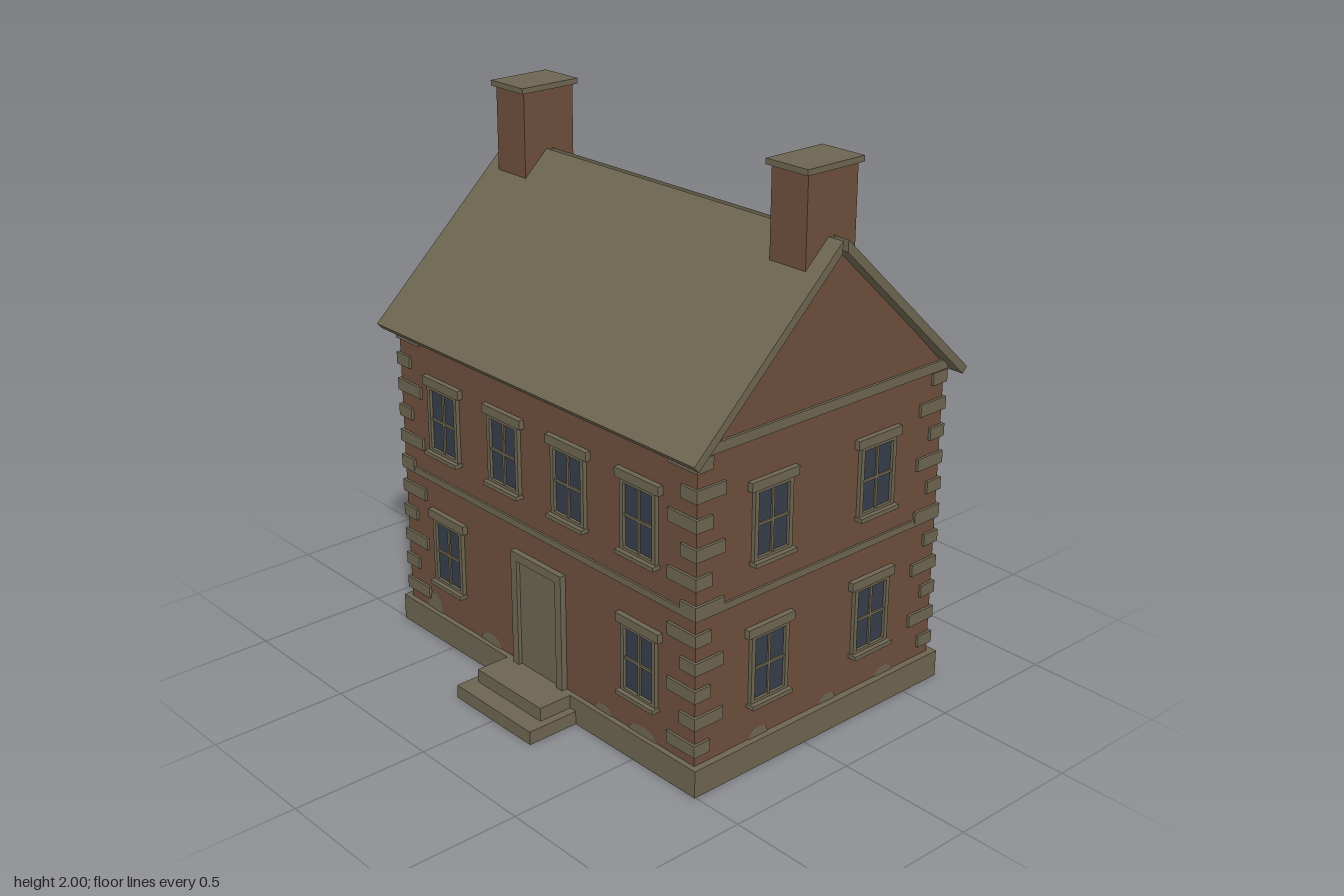
import * as THREE from 'three';

const mat = (name, color, side = THREE.FrontSide) => {
  const m = new THREE.MeshStandardMaterial({ color, side });
  m.name = name;
  return m;
};

const W = 0.78, D = 0.565, CZ = -0.08; // wall half width, half depth, centre z

export function createModel() {
  const stone = mat('stone', 0x6d6551, THREE.DoubleSide);
  const brick = mat('brick', 0x6d4e3c);
  const glass = mat('glass', 0x363e4a);
  const house = new THREE.Group();
  house.name = 'house';

  const add = (parent, name, geometry, material) => {
    const mesh = new THREE.Mesh(geometry, material);
    mesh.name = name;
    parent.add(mesh);
    return mesh;
  };
  // Box given by its limits on each axis
  const box = (parent, name, material, x0, x1, y0, y1, z0, z1) => {
    const g = new THREE.BoxGeometry(x1 - x0, y1 - y0, z1 - z0);
    g.translate((x0 + x1) / 2, (y0 + y1) / 2, (z0 + z1) / 2);
    return add(parent, name, g, material);
  };
  // Box without its underside
  const openBox = (name, ...limits) => {
    const g = box(house, name, stone, ...limits).geometry;
    const index = Array.from(g.index.array);
    index.splice(18, 6);
    g.setIndex(index);
    g.clearGroups();
  };
  // Profile in (z, y) swept along x
  const sweep = (name, points, halfLength, material) => {
    const shape = new THREE.Shape(points.map(([z, y]) => new THREE.Vector2(z, y)));
    const g = new THREE.ExtrudeGeometry(shape, { depth: 2 * halfLength, bevelEnabled: false });
    g.translate(0, 0, -halfLength);
    g.rotateY(-Math.PI / 2);
    return add(house, name, g, material);
  };
  // Band running round the walls
  const band = (name, y0, y1, out) =>
    box(house, name, stone, -W - out, W + out, y0, y1, CZ - D - out, CZ + D + out);

  // Plinth and steps, open underneath
  openBox('plinth', -0.805, 0.805, 0, 0.1, -0.67, 0.505);
  openBox('lowerStep', -0.205, 0.205, 0, 0.05, 0.505, 0.705);
  openBox('upperStep', -0.175, 0.175, 0.05, 0.1, 0.505, 0.635);

  // Brick body with gables
  sweep('walls', [[CZ - D, 0.1], [CZ + D, 0.1], [CZ + D, 1.2], [CZ, 1.748], [CZ - D, 1.2]], W, brick);
  band('stringCourse', 0.63, 0.655, 0.008);
  band('cornice', 1.185, 1.22, 0.01);

  // Two roof slabs with a narrow gap at the ridge
  for (const s of [-1, 1]) {
    const slab = [[0.012, 1.765], [0.625, 1.19], [0.605, 1.168], [0.012, 1.724]];
    sweep(s > 0 ? 'frontRoof' : 'backRoof', slab.map(([z, y]) => [CZ + s * z, y]), 0.83, stone);
  }

  // Chimneys
  for (const s of [-1, 1]) {
    const chimney = new THREE.Group();
    chimney.name = s > 0 ? 'leftChimney' : 'rightChimney';
    chimney.position.set(s * 0.69, 0, CZ);
    box(chimney, 'chimneyStack', brick, -0.078, 0.078, 1.5, 1.98, -0.11, 0.11);
    box(chimney, 'chimneyCap', stone, -0.09, 0.09, 1.98, 2, -0.125, 0.125);
    house.add(chimney);
  }

  // Quoins, long and short in turn at every corner
  for (const sx of [-1, 1]) for (const sz of [-1, 1]) for (let i = 0; i < 11; i++) {
    const lx = i % 2 ? 0.075 : 0.135, lz = i % 2 ? 0.125 : 0.07;
    const quoin = add(house, 'quoin', new THREE.BoxGeometry(lx, 0.045, lz), stone);
    quoin.position.set(sx * (W + 0.01 - lx / 2), 0.16 + 0.1 * i, CZ + sz * (D + 0.01 - lz / 2));
  }

  // Window in wall space, facing +z
  const addWindow = (wall, x, y) => {
    const w = new THREE.Group();
    w.name = 'window';
    w.position.set(x, y, 0);
    box(w, 'windowGlass', glass, -0.075, 0.075, -0.115, 0.115, 0, 0.004);
    for (const s of [-1, 1]) {
      box(w, 'frameSide', stone, s * 0.077 - 0.008, s * 0.077 + 0.008, -0.125, 0.125, 0, 0.015);
      box(w, 'frameRail', stone, -0.077, 0.077, s * 0.119 - 0.006, s * 0.119 + 0.006, 0, 0.015);
    }
    box(w, 'glazingBar', stone, -0.005, 0.005, -0.119, 0.119, 0, 0.01);
    box(w, 'glazingBar', stone, -0.077, 0.077, -0.005, 0.005, 0, 0.01);
    box(w, 'lintel', stone, -0.105, 0.105, 0.125, 0.158, 0, 0.02);
    box(w, 'sill', stone, -0.092, 0.092, -0.138, -0.123, 0, 0.032);
    wall.add(w);
  };
  // Worn render patch rising from height y, or hanging when h is negative
  const addPatch = (wall, x, y, width, h) => {
    const s = new THREE.Shape();
    s.moveTo(x - width / 2, y);
    s.lineTo(x + width / 2, y);
    s.lineTo(x + width * 0.38, y + h * 0.7);
    s.lineTo(x + width * 0.12, y + h);
    s.lineTo(x - width * 0.2, y + h * 0.9);
    s.lineTo(x - width * 0.4, y + h * 0.55);
    const patch = add(wall, 'wornPatch', new THREE.ShapeGeometry(s), stone);
    patch.position.z = 0.003;
  };

  // Wall faces: windows at two floors, patches as [x, y, width, height]
  const UP = 0.885, LOW = 0.365;
  const faces = [
    { name: 'frontFace', p: [0, CZ + D], r: 0, up: [-0.52, -0.175, 0.17, 0.52], low: [-0.52, 0.52],
      patches: [[-0.63, 0.1, 0.09, 0.07], [-0.29, 0.1, 0.12, 0.04], [0.33, 0.1, 0.09, 0.03],
        [0.53, 0.1, 0.14, 0.035], [-0.64, 1.185, 0.06, -0.025], [0.45, 0.225, 0.04, -0.02]] },
    { name: 'backFace', p: [0, CZ - D], r: Math.PI, up: [-0.45, 0, 0.45], low: [-0.45, 0, 0.45],
      patches: [[-0.3, 0.1, 0.09, 0.035], [0.25, 0.1, 0.1, 0.03], [0.6, 1.185, 0.06, -0.03]] },
  ];
  for (const s of [-1, 1]) faces.push({
    name: s > 0 ? 'leftFace' : 'rightFace', p: [s * W, CZ], r: s * Math.PI / 2,
    up: [-0.243, 0.243], low: [-0.243, 0.243],
    patches: [[-0.28, 0.1, 0.09, 0.035], [0.05, 0.1, 0.08, 0.03], [0.33, 0.1, 0.09, 0.03],
      [-0.5, 1.22, 0.06, 0.025]],
  });
  for (const f of faces) {
    const wall = new THREE.Group();
    wall.name = f.name;
    wall.position.set(f.p[0], 0, f.p[1]);
    wall.rotation.y = f.r;
    f.up.forEach((x) => addWindow(wall, x, UP));
    f.low.forEach((x) => addWindow(wall, x, LOW));
    f.patches.forEach((a) => addPatch(wall, ...a));
    house.add(wall);
  }

  // Door set back in a stone surround
  const door = new THREE.Group();
  door.name = 'door';
  door.position.z = CZ + D;
  box(door, 'doorPanel', stone, -0.11, 0.11, 0.1, 0.51, 0, 0.008);
  for (const s of [-1, 1]) box(door, 'doorJamb', stone, s * 0.12 - 0.016, s * 0.12 + 0.016, 0.1, 0.54, 0, 0.022);
  box(door, 'doorHead', stone, -0.104, 0.104, 0.508, 0.54, 0, 0.022);
  house.add(door);

  return house;
}
